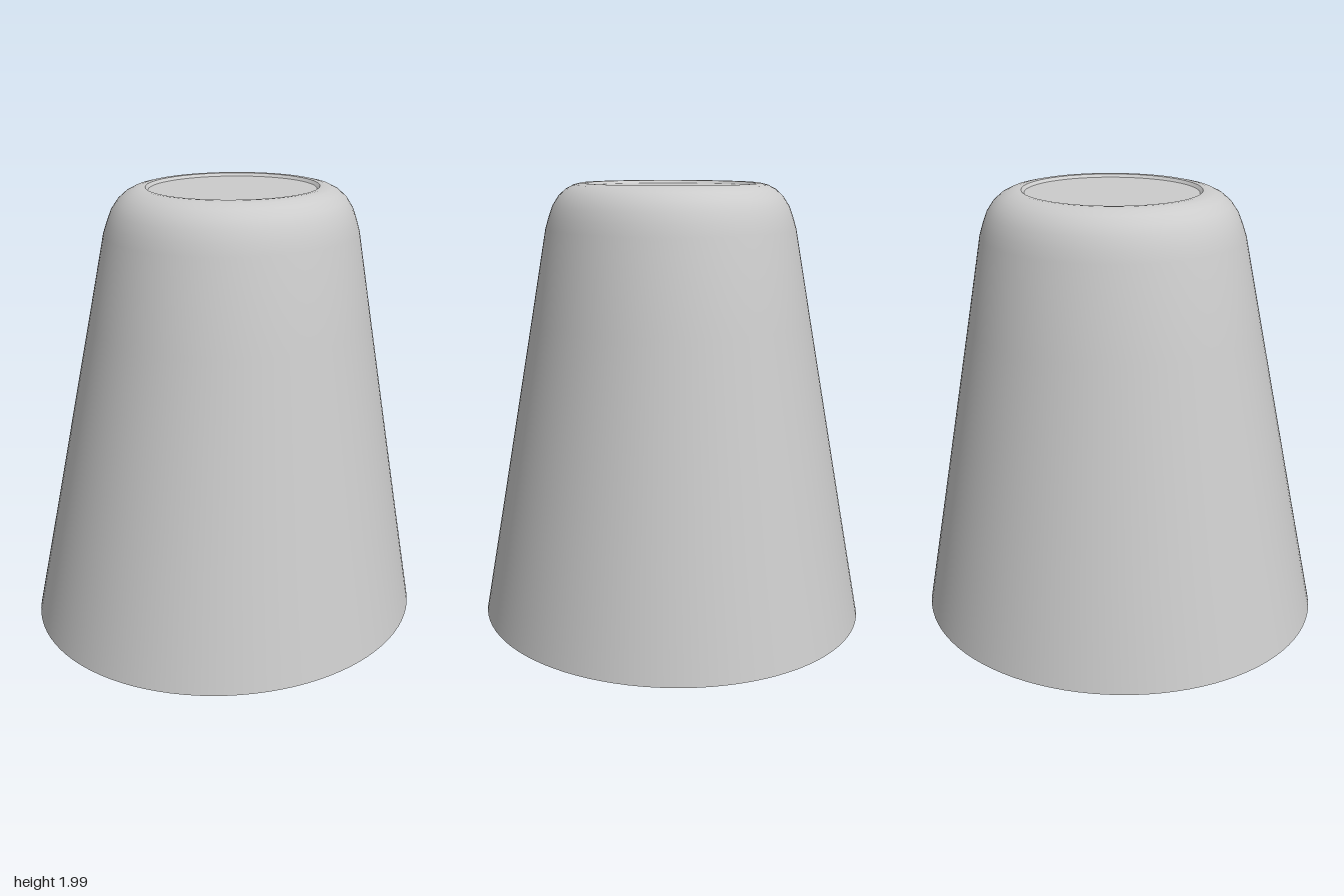
import * as THREE from 'three';
import { toCreasedNormals } from 'three/addons/utils/BufferGeometryUtils.js';

export function createModel() {
  const group = new THREE.Group();
  group.name = 'upturnedCup';

  // Closed wall profile: ceiling, inner wall, rim, outer wall, shoulder, recessed base
  const profile = [
    [0, 1.94], [0.38, 1.94], [0.46, 1.925], [0.515, 1.88], [0.545, 1.8],
    [0.71, 0.95], [0.893, 0.01],
    [0.93, 0.01],
    [0.836, 0.5], [0.741, 1.0], [0.665, 1.4], [0.59, 1.8], [0.574, 1.85],
    [0.555, 1.9], [0.525, 1.944], [0.49, 1.974], [0.455, 1.991], [0.42, 1.999],
    [0.398, 1.998], [0.385, 1.985], [0, 1.985],
  ].map(([r, y]) => new THREE.Vector2(r, y));

  const lathe = new THREE.LatheGeometry(profile, 96);

  // Slightly oval section, with the axis leaning a little towards the top
  const pos = lathe.attributes.position;
  for (let i = 0; i < pos.count; i++) {
    const y = pos.getY(i);
    pos.setX(i, pos.getX(i) + 0.018 * y);
    pos.setZ(i, pos.getZ(i) * 0.943 + 0.007 * y);
  }

  const cup = new THREE.Mesh(
    toCreasedNormals(lathe, THREE.MathUtils.degToRad(35)),
    new THREE.MeshStandardMaterial({ color: 0xcccccc }),
  );
  cup.name = 'cupShell';
  group.add(cup);
  return group;
}
